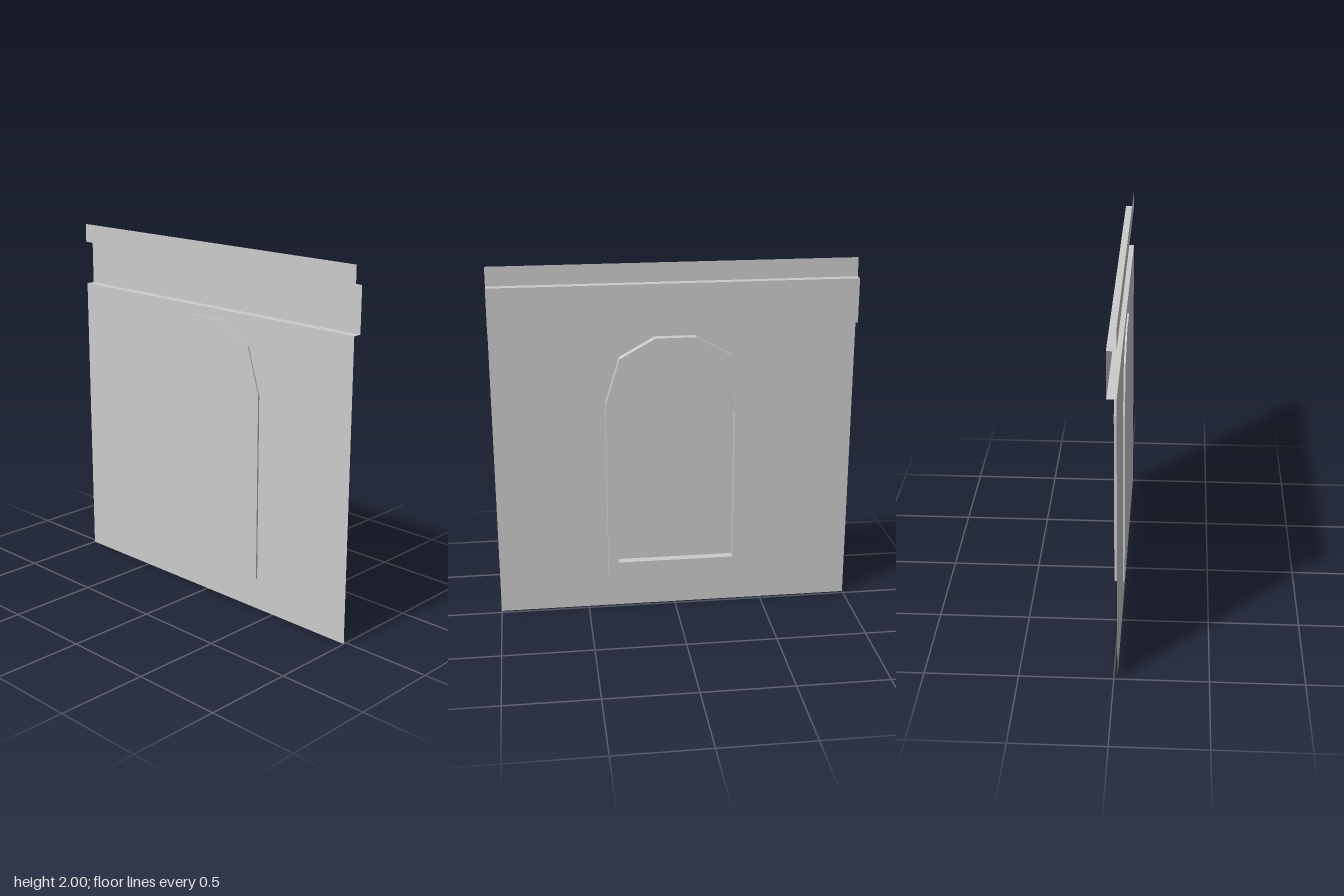
import * as THREE from 'three';

const WALL_X = -0.019, FRONT_X = 0.029, BACK_X = -0.029;

// Mirrors half an outline (bottom to top) into a closed list of points.
function mirrored(half) {
  const right = half.map(([x, y]) => new THREE.Vector2(x, y));
  const left = half.map(([x, y]) => new THREE.Vector2(-x, y)).reverse();
  return [...right, ...left];
}

// Extrudes a shape along x between two planes.
function slab(shape, fromX, toX) {
  const geo = new THREE.ExtrudeGeometry(shape, { depth: toX - fromX, bevelEnabled: false });
  return geo.rotateY(Math.PI / 2).translate(fromX, 0, 0);
}

// Sweeps an x/y profile along z as a thin, sharply folded sheet.
function foldedSheet(profile, halfWidth) {
  const pos = [], index = [];
  for (let i = 0; i < profile.length - 1; i++) {
    const [ax, ay] = profile[i], [bx, by] = profile[i + 1], k = i * 4;
    pos.push(ax, ay, halfWidth, ax, ay, -halfWidth, bx, by, -halfWidth, bx, by, halfWidth);
    index.push(k, k + 1, k + 2, k, k + 2, k + 3);
  }
  const geo = new THREE.BufferGeometry();
  geo.setAttribute('position', new THREE.Float32BufferAttribute(pos, 3));
  geo.setIndex(index);
  geo.computeVertexNormals();
  return geo;
}

export function createModel() {
  const group = new THREE.Group();
  const solid = new THREE.MeshStandardMaterial({ color: 0xcccccc, flatShading: true });
  const sheet = new THREE.MeshStandardMaterial({ color: 0xcccccc, flatShading: true, side: THREE.DoubleSide });

  const add = (name, geo, mat) => {
    const mesh = new THREE.Mesh(geo, mat);
    mesh.name = name;
    group.add(mesh);
  };

  // Wall sheet with a raised band near the top
  add('wall', foldedSheet([
    [WALL_X, 0], [WALL_X, 1.65], [FRONT_X, 1.65],
    [FRONT_X, 1.895], [WALL_X, 1.895], [WALL_X, 2],
  ], 1), sheet);

  // Arched window frame standing proud of the wall
  const outer = mirrored([[0.384, 0.18], [0.384, 1.23], [0.305, 1.488], [0.11, 1.597]]);
  const inner = mirrored([[0.329, 0.288], [0.329, 1.168], [0.261, 1.396], [0.098, 1.49]]);
  const ring = new THREE.Shape(outer);
  ring.holes.push(new THREE.Path(inner));
  add('windowFrame', slab(ring, WALL_X, FRONT_X), solid);

  // Solid plate behind the wall
  add('windowBackPlate', slab(new THREE.Shape(outer), BACK_X, WALL_X - 0.0005), solid);

  return group;
}
